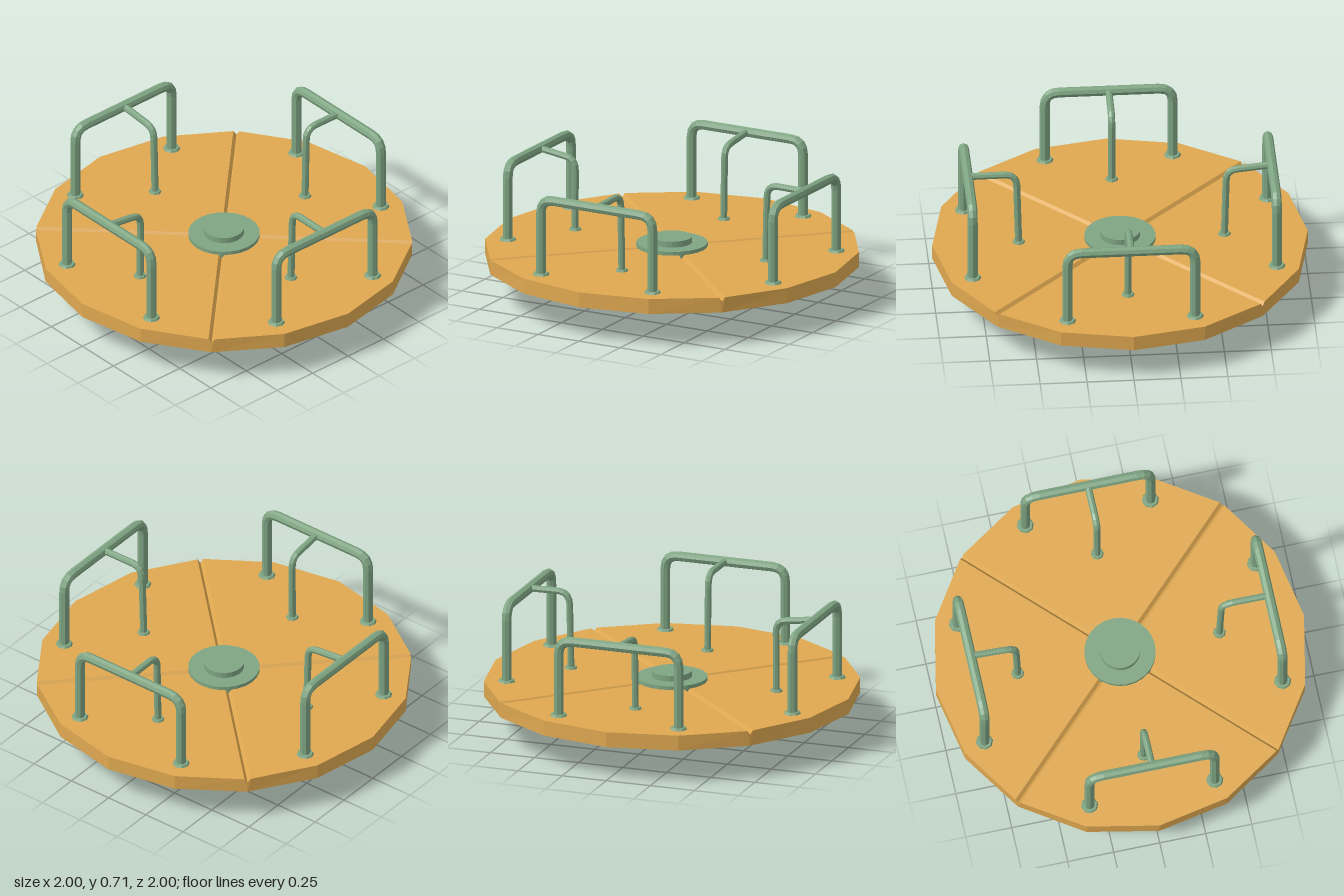
import * as THREE from 'three';

const wood = new THREE.MeshStandardMaterial({ color: 0xdfa850, flatShading: true });
const green = new THREE.MeshStandardMaterial({ color: 0x7fa583, flatShading: true });
const dark = new THREE.MeshStandardMaterial({ color: 0x444444, flatShading: true });

const DECK_TOP = 0.27, DECK_BOTTOM = 0.187;

// Curve that passes straight from point to point, one tube ring per point
class Polyline extends THREE.Curve {
  constructor(points) { super(); this.points = points; }
  getPoint(t, target = new THREE.Vector3()) {
    const n = this.points.length - 1;
    const i = Math.min(Math.floor(t * n + 1e-9), n - 1);
    return target.lerpVectors(this.points[i], this.points[i + 1], t * n - i);
  }
  getUtoTmapping(u) { return u; }
}

function addMesh(parent, name, geometry, material) {
  const mesh = new THREE.Mesh(geometry, material);
  mesh.name = name;
  parent.add(mesh);
  return mesh;
}

// Corner arc between two straight runs, as a few points
function bend(from, corner, to, steps = 4) {
  return new THREE.QuadraticBezierCurve3(from, corner, to).getPoints(steps);
}

function addPipe(parent, name, points, radius, sides = 8) {
  addMesh(parent, name, new THREE.TubeGeometry(new Polyline(points), points.length - 1, radius, sides), green);
}

function addFoot(parent, x, z, radius) {
  const foot = addMesh(parent, 'footFlange', new THREE.CylinderGeometry(radius * 0.85, radius, 0.012, 8), green);
  foot.position.set(x, DECK_TOP + 0.005, z);
}

// One quarter of the 16-sided deck, with half of a V groove along both edges
function deckQuarter() {
  const pos = [];
  const tri = (...p) => p.forEach((v) => pos.push(v.x, v.y, v.z));
  const groove = 0.016, floor = DECK_TOP - 0.022;
  const at = (p, y) => new THREE.Vector3(p.x, y, p.z);
  const rim = [], top = [];
  for (let i = 0; i <= 4; i++) {
    const a = -Math.PI / 4 + i * Math.PI / 8;
    rim.push(new THREE.Vector3(Math.sin(a), 0, Math.cos(a)));
    top.push(at(rim[i], DECK_TOP));
  }
  // move the end corners sideways, away from the groove line
  const s = groove * Math.SQRT1_2;
  top[0].x += s; top[0].z += s;
  top[4].x -= s; top[4].z += s;
  const apex = new THREE.Vector3(0, DECK_TOP, groove * Math.SQRT2);
  const centre = new THREE.Vector3();
  const mid = at(centre, floor), under = at(centre, DECK_BOTTOM);
  for (let i = 0; i < 4; i++) {
    const a = at(rim[i], DECK_BOTTOM), b = at(rim[i + 1], DECK_BOTTOM);
    tri(apex, top[i], top[i + 1]);
    tri(under, b, a);
    tri(a, b, top[i + 1]);
    tri(a, top[i + 1], top[i]);
  }
  // groove walls and the small rim pieces beside them
  const g0 = at(rim[0], floor), g4 = at(rim[4], floor);
  tri(mid, g0, top[0]); tri(mid, top[0], apex);
  tri(mid, top[4], g4); tri(mid, apex, top[4]);
  tri(at(rim[0], DECK_BOTTOM), top[0], g0);
  tri(at(rim[4], DECK_BOTTOM), g4, top[4]);
  const geometry = new THREE.BufferGeometry();
  geometry.setAttribute('position', new THREE.Float32BufferAttribute(pos, 3));
  geometry.computeVertexNormals();
  return geometry;
}

// Hoop handle at the rim with a brace reaching towards the middle
function createHandle(foot, knee, kneeY) {
  const handle = new THREE.Group();
  handle.name = 'handle';
  const V = (x, y, z) => new THREE.Vector3(x, y, z);
  const w = 0.34, z = 0.81, y = 0.688, r = 0.075;
  addPipe(handle, 'hoop', [
    V(-w, DECK_TOP, z),
    ...bend(V(-w, y - r, z), V(-w, y, z), V(-w + r, y, z)),
    ...bend(V(w - r, y, z), V(w, y, z), V(w, y - r, z)),
    V(w, DECK_TOP, z),
  ], 0.027);
  addPipe(handle, 'brace', [
    V(0, 0.69, z),
    ...bend(V(0, kneeY, knee + 0.06), V(0, kneeY - 0.005, knee), V(0, kneeY - 0.07, knee)),
    V(0, DECK_TOP, foot),
  ], 0.019);
  addFoot(handle, -w, z, 0.047);
  addFoot(handle, w, z, 0.047);
  addFoot(handle, 0, foot, 0.035);
  return handle;
}

export function createModel() {
  const model = new THREE.Group();
  model.name = 'merryGoRound';

  // Deck in four quarters
  const deck = new THREE.Group();
  deck.name = 'deck';
  const quarter = deckQuarter();
  for (let i = 0; i < 4; i++) {
    addMesh(deck, 'deckQuarter', quarter, wood).rotation.y = i * Math.PI / 2;
  }
  model.add(deck);

  // Stepped hub cap on top of the deck
  const hub = [[0.19, DECK_TOP - 0.02], [0.19, 0.29], [0.107, 0.29], [0.107, 0.322], [0, 0.322]];
  addMesh(model, 'hubCap', new THREE.LatheGeometry(hub.map((p) => new THREE.Vector2(...p)), 24), green);

  // Base, neck and flared bearing below the deck
  const base = [[0, 0], [0.17, 0], [0.17, 0.08], [0.122, 0.08], [0.122, 0.145], [0.17, DECK_BOTTOM]];
  addMesh(model, 'pedestal', new THREE.LatheGeometry(base.map((p) => new THREE.Vector2(...p)), 16), dark);

  // Four handles: brace foot, knee distance, knee height; front, left, back, right
  const braces = [[0.54, 0.55, 0.692], [0.572, 0.58, 0.692], [0.556, 0.565, 0.672], [0.592, 0.59, 0.668]];
  braces.forEach((b, i) => {
    const handle = createHandle(...b);
    handle.rotation.y = i * Math.PI / 2;
    model.add(handle);
  });
  return model;
}
